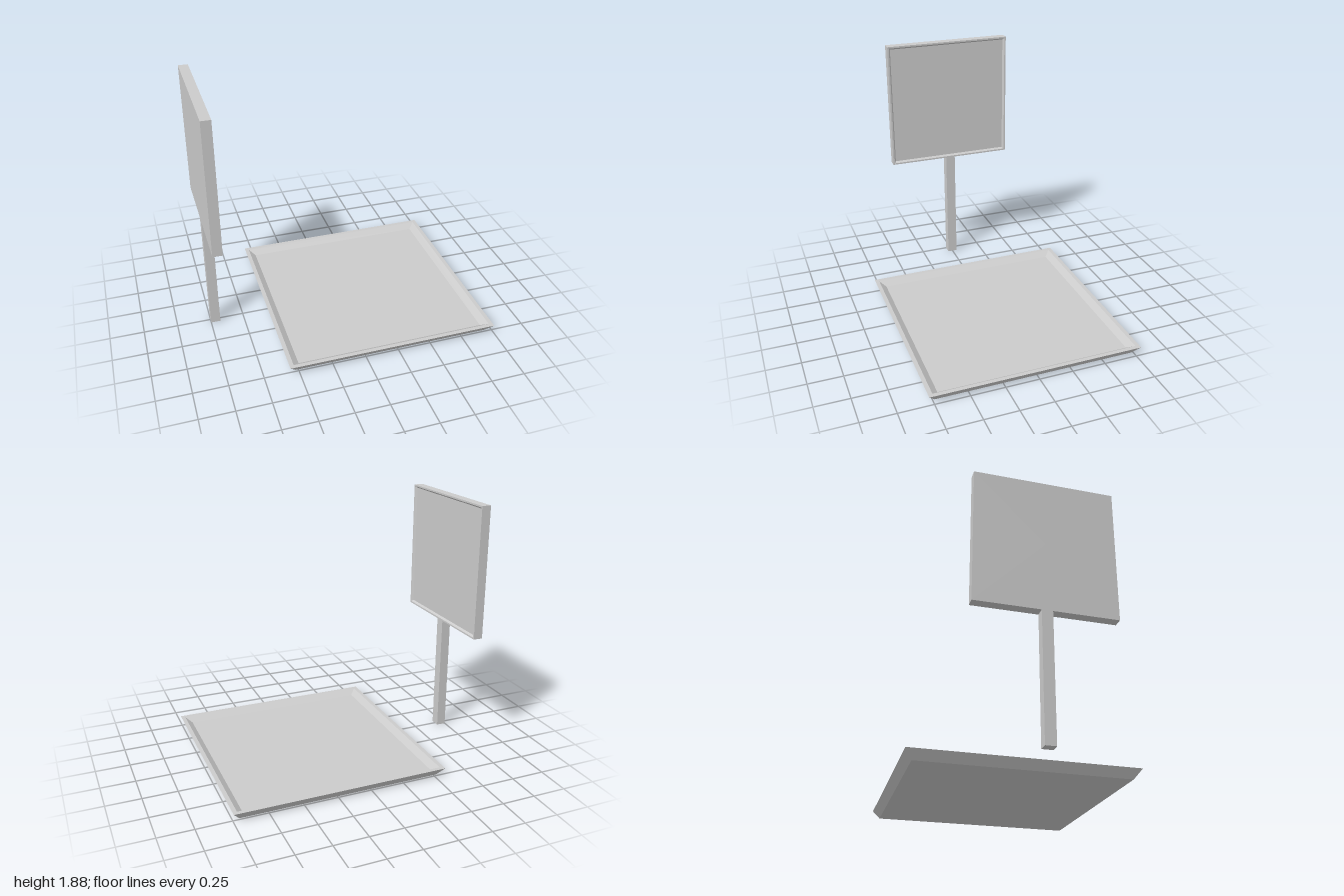
import * as THREE from 'three';

const material = new THREE.MeshStandardMaterial({ color: 0xcccccc, flatShading: true });

// Square dish: a four-sided lathe; profile lists [half width, height] from bottom centre to floor centre.
function squareDish(name, profile) {
  const points = profile.map(([half, y]) => new THREE.Vector2(half * Math.SQRT2, y));
  const geometry = new THREE.LatheGeometry(points, 4, Math.PI / 4);
  const mesh = new THREE.Mesh(geometry, material);
  mesh.name = name;
  return mesh;
}

export function createModel() {
  const group = new THREE.Group();

  // Shallow tray with sloping sides, a flat rim and a recessed floor
  const tray = squareDish('tray', [
    [0, 0], [0.735, 0], [0.784, 0.065], [0.754, 0.065], [0.707, 0.03], [0, 0.03],
  ]);
  tray.position.x = 0.216;
  group.add(tray);

  // Upright board with a thin bevelled frame, facing the tray (+x)
  const board = squareDish('board', [
    [0, 0], [0.491, 0], [0.491, 0.07], [0.479, 0.07], [0.467, 0.055], [0, 0.055],
  ]);
  board.rotation.z = -Math.PI / 2;
  board.position.set(-1, 1.389, 0);
  group.add(board);

  // Post under the board
  const post = new THREE.Mesh(new THREE.BoxGeometry(0.07, 0.898, 0.075), material);
  post.name = 'post';
  post.position.set(-0.965, 0.449, 0);
  group.add(post);

  return group;
}
